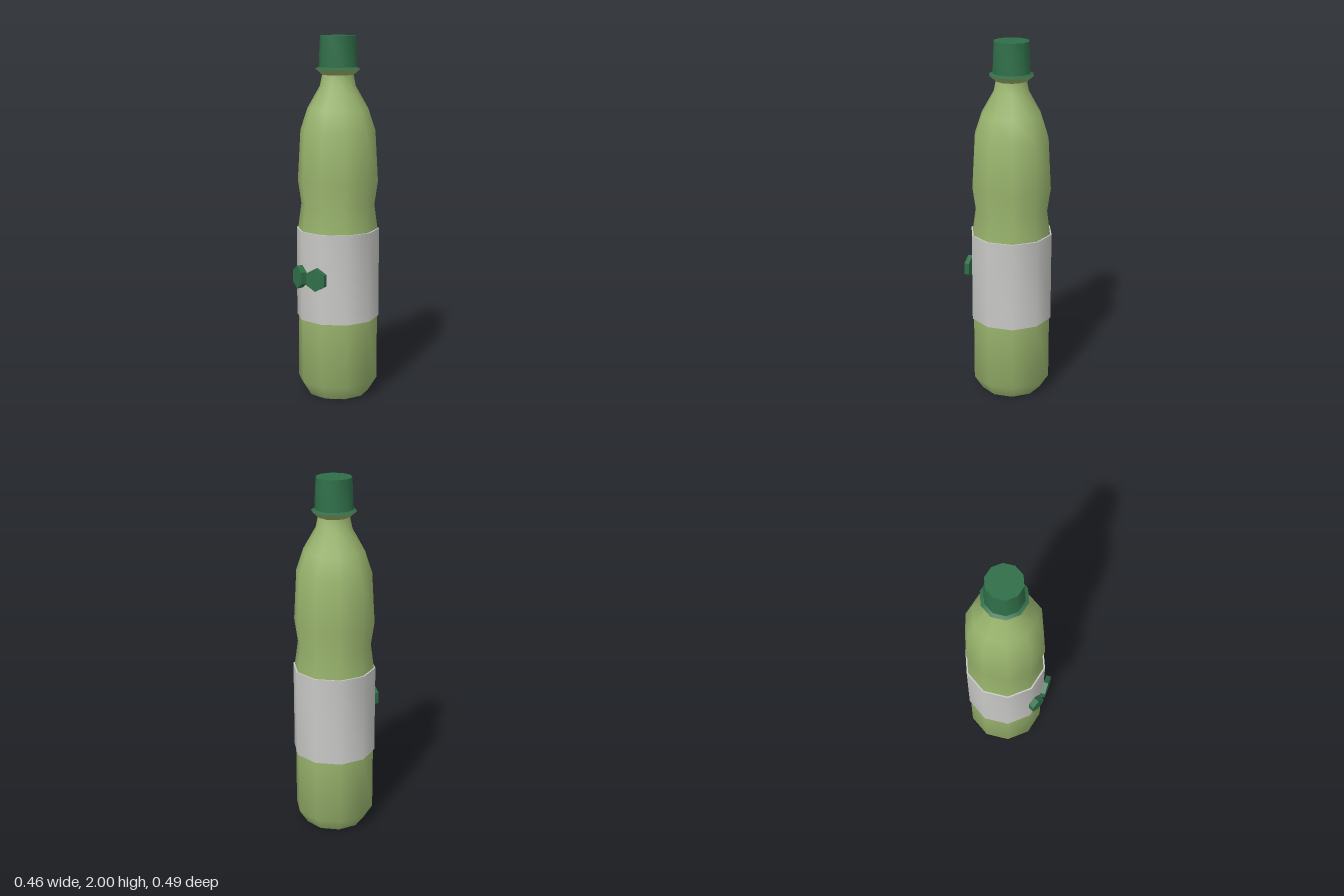
import * as THREE from 'three';
import { toCreasedNormals } from 'three/addons/utils/BufferGeometryUtils.js';

const SIDES = 10;
const AXIS_Z = -0.03;

const material = (name, color) => {
  const m = new THREE.MeshStandardMaterial({ color });
  m.name = name;
  return m;
};

// Ten-sided turned part from [radius, height] pairs, listed bottom to top
function turned(name, profile, mat) {
  const points = profile.map(([r, y]) => new THREE.Vector2(r, y));
  const lathe = new THREE.LatheGeometry(points, SIDES, Math.PI / 2);
  const mesh = new THREE.Mesh(toCreasedNormals(lathe, 0.9), mat);
  mesh.name = name;
  mesh.position.z = AXIS_Z;
  return mesh;
}

// Upright hexagonal plate with a corner at the top
function hexPlate(name, width, depth, x, z, turn, mat) {
  const geo = new THREE.CylinderGeometry(0.064, 0.064, depth, 6);
  geo.rotateX(Math.PI / 2);
  geo.scale(width / (0.064 * Math.sqrt(3)), 1, 1);
  const mesh = new THREE.Mesh(toCreasedNormals(geo, 0.5), mat);
  mesh.name = name;
  mesh.position.set(x, 0.7, z);
  mesh.rotation.y = turn;
  return mesh;
}

export function createModel() {
  const glass = material('bottle green', 0x9ab56e);
  const paper = material('label grey', 0xc8c8c6);
  const dark = material('cap green', 0x2f6e48);

  const group = new THREE.Group();
  group.name = 'bottle';

  // Body, from the base through the waist and shoulder to the neck flare
  group.add(turned('body', [
    [0, 0], [0.172, 0], [0.222, 0.08], [0.222, 0.45], [0.222, 0.94],
    [0.203, 1.08], [0.222, 1.21], [0.206, 1.49], [0.166, 1.61],
    [0.098, 1.73], [0.086, 1.79],
  ], glass));
  group.add(turned('neckFlare', [[0.086, 1.79], [0.123, 1.822]], glass));

  // Label sleeve with closed rims
  group.add(turned('label', [
    [0.221, 0.445], [0.23, 0.445], [0.23, 0.945], [0.221, 0.945],
  ], paper));

  // Cap with its sloping bottom rim
  group.add(turned('cap', [
    [0.123, 1.822], [0.105, 1.832], [0.097, 2], [0, 2],
  ], dark));

  // Two plates angled around the front of the label
  group.add(hexPlate('rightPlate', 0.082, 0.035, -0.059, 0.217, -0.23, dark));
  group.add(hexPlate('leftPlate', 0.113, 0.028, 0.057, 0.21, 0.23, dark));

  return group;
}
